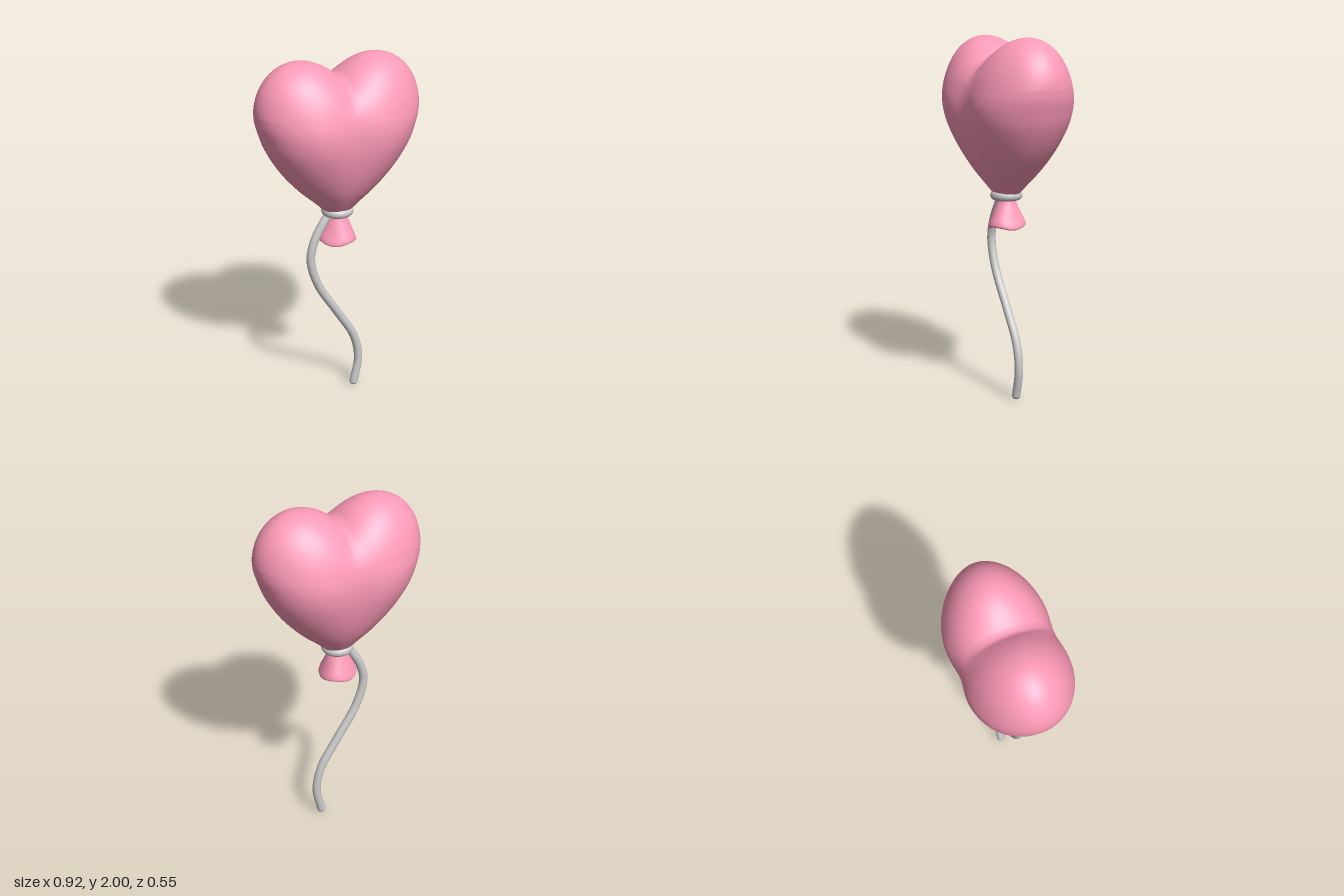
import * as THREE from 'three';
import { mergeVertices } from 'three/addons/utils/BufferGeometryUtils.js';

const pink = new THREE.MeshStandardMaterial({ color: 0xff9bb9, side: THREE.DoubleSide });
const grey = new THREE.MeshStandardMaterial({ color: 0xcccccc });

const SHOULDER = 1.74; // height where the heart is widest
const HALF = 0.46;

// Lower body, bottom to shoulder: (half width, height, half depth)
const lower = new THREE.CatmullRomCurve3([
  [0.045, 1.11, 0.04], [0.08, 1.15, 0.068], [0.13, 1.20, 0.106], [0.228, 1.29, 0.168],
  [0.33, 1.41, 0.225], [0.406, 1.54, 0.264], [0.438, 1.63, 0.274], [0.455, 1.69, 0.269],
  [HALF, SHOULDER, 0.257],
].map(p => new THREE.Vector3(...p)));

// Height of the two rounded lobes with the notch between them
function lobeTop(x) {
  const d = 0.22;
  if (x < d) return 2 - 0.1 * (1 - x / d) ** 2;
  return SHOULDER + 0.26 * Math.sqrt(Math.max(0, 1 - ((x - d) / (HALF - d)) ** 2));
}

// Depth across the width: round at the neck, two soft bulges higher up
function section(t, y) {
  const X = Math.abs(Math.cos(t)), c = 0.315;
  const bulge = X > c
    ? Math.sqrt(Math.max(0, 1 - ((X - c) / (1 - c)) ** 2))
    : 1 - 0.055 * Math.cos(X / c * Math.PI / 2) ** 2;
  const k = THREE.MathUtils.smoothstep(y, 1.15, 1.65);
  const round = Math.abs(Math.sin(t));
  return (round + (bulge - round) * k) * (Math.sin(t) < 0 ? -1 : 1);
}

function heartGeometry() {
  const around = 96, low = 36, high = 24, pos = [], index = [];
  const a0 = Math.asin(0.35);
  for (let j = 0; j <= low + high; j++) {
    const p = lower.getPoint(Math.min(1, j / low));
    for (let i = 0; i < around; i++) {
      const t = (i / around) * Math.PI * 2;
      const x = p.x * Math.cos(t);
      let y = p.y, z = p.z * section(t, p.y);
      if (j > low) { // arch over into the lobes
        const a = a0 + (Math.PI / 2 - a0) * (j - low) / high;
        y += (lobeTop(Math.abs(x)) - SHOULDER) * (Math.sin(a) - 0.35) / 0.65;
        z *= Math.cos(a) / Math.cos(a0);
      }
      pos.push(x, y, z);
    }
  }
  for (let j = 0; j < low + high; j++) {
    for (let i = 0; i < around; i++) {
      const a = j * around + i, b = j * around + (i + 1) % around;
      index.push(a, a + around, b, b, a + around, b + around);
    }
  }
  let g = new THREE.BufferGeometry();
  g.setAttribute('position', new THREE.Float32BufferAttribute(pos, 3));
  g.setIndex(index);
  g = mergeVertices(g, 1e-5);
  g.computeVertexNormals();
  return g;
}

// Flared, hollow tail with a gently wavy rim
function tailGeometry() {
  const profile = [[0.045, 1.14], [0.053, 1.105], [0.067, 1.07], [0.084, 1.03], [0.099, 0.995],
    [0.104, 0.976], [0.1, 0.967], [0.088, 0.967], [0.066, 0.985], [0.05, 1.02], [0.03, 1.06], [0, 1.08]];
  const g = new THREE.LatheGeometry(
    new THREE.SplineCurve(profile.map(p => new THREE.Vector2(...p)).reverse()).getPoints(40), 64);
  const p = g.attributes.position;
  for (let i = 0; i < p.count; i++) {
    const x = p.getX(i), z = p.getZ(i);
    const k = THREE.MathUtils.smoothstep(Math.hypot(x, z), 0.05, 0.1);
    const wave = k * Math.cos(3 * Math.atan2(z, x) - 0.3);
    p.setXYZ(i, x * (1 - 0.03 * wave), p.getY(i) - 0.007 * wave, z * (1 - 0.03 * wave));
  }
  g.deleteAttribute('uv');
  g.deleteAttribute('normal');
  const m = mergeVertices(g, 1e-5);
  m.computeVertexNormals();
  return m;
}

export function createModel() {
  const model = new THREE.Group();
  const add = (name, geometry, material) => {
    const mesh = new THREE.Mesh(geometry, material);
    mesh.name = name;
    model.add(mesh);
    return mesh;
  };

  add('heartBalloon', heartGeometry(), pink);
  add('balloonTail', tailGeometry(), pink);

  // Tie around the neck
  const tie = add('neckRing', new THREE.TorusGeometry(0.062, 0.027, 20, 56), grey);
  tie.rotation.x = Math.PI / 2;
  tie.position.y = 1.142;

  // Wavy string with a rounded end
  const path = new THREE.CatmullRomCurve3([
    [-0.04, 1.14], [-0.085, 1.08], [-0.14, 0.98], [-0.163, 0.87], [-0.12, 0.71], [0, 0.51],
    [0.105, 0.33], [0.135, 0.18], [0.107, 0.024],
  ].map(([x, y]) => new THREE.Vector3(x, y, 0)));
  add('string', new THREE.TubeGeometry(path, 80, 0.024, 16), grey);
  add('stringEnd', new THREE.SphereGeometry(0.024, 16, 12), grey).position.set(0.107, 0.024, 0);

  return model;
}
